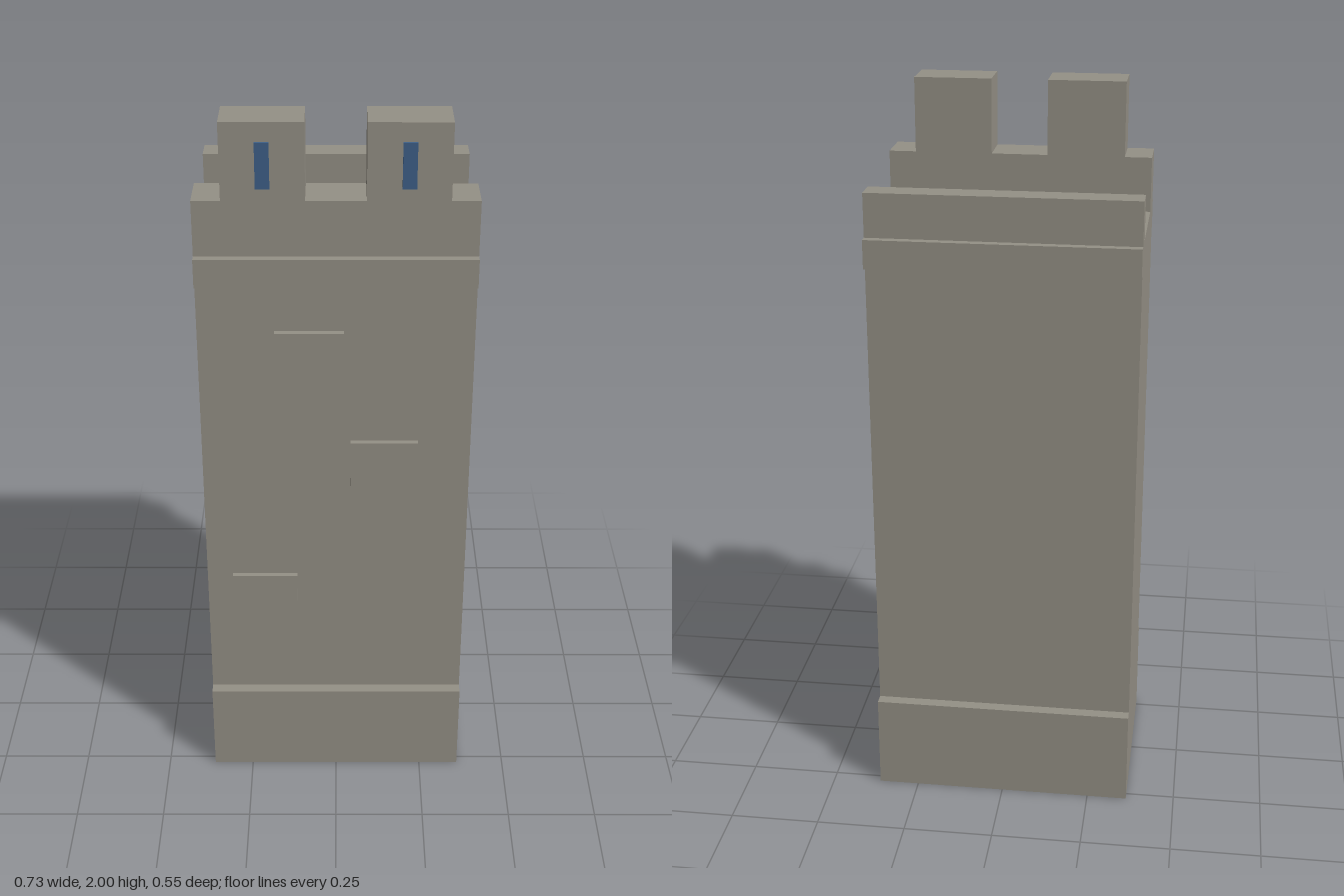
import * as THREE from 'three';

const WIDTH = 0.726;
const FRONT = 0.242; // front wall plane

export function createModel() {
  const stone = new THREE.MeshStandardMaterial({ color: 0x959186 });
  stone.name = 'stone';
  const slitBlue = new THREE.MeshStandardMaterial({ color: 0x3e6089 });
  slitBlue.name = 'slitBlue';

  const tower = new THREE.Group();
  tower.name = 'tower';

  // Box given by its limits on each axis
  const addBox = (name, material, [x0, x1], [y0, y1], [z0, z1]) => {
    const mesh = new THREE.Mesh(new THREE.BoxGeometry(x1 - x0, y1 - y0, z1 - z0), material);
    mesh.position.set((x0 + x1) / 2, (y0 + y1) / 2, (z0 + z1) / 2);
    mesh.name = name;
    tower.add(mesh);
  };

  // Plinth, shaft, cornices and both parapets: one side profile (z, y) swept across the width
  const profile = [
    [-0.275, 0], [0.275, 0], [0.275, 0.27], [FRONT, 0.27],
    [FRONT, 1.567], [0.265, 1.567], [0.265, 1.646], [FRONT, 1.646],
    [FRONT, 1.796], [0.122, 1.796], [0.122, 1.646],
    [-0.172, 1.646], [-0.172, 1.765], [-FRONT, 1.765],
    [-FRONT, 1.646], [-0.265, 1.646], [-0.265, 1.567], [-FRONT, 1.567],
    [-FRONT, 0.27], [-0.275, 0.27],
  ];
  const shape = new THREE.Shape(profile.map(([z, y]) => new THREE.Vector2(z, y)));
  const bodyGeometry = new THREE.ExtrudeGeometry(shape, { depth: WIDTH, bevelEnabled: false });
  bodyGeometry.translate(0, 0, -WIDTH / 2);
  bodyGeometry.rotateY(-Math.PI / 2);
  const body = new THREE.Mesh(bodyGeometry, stone);
  body.name = 'towerBody';
  tower.add(body);

  // Two merlons on the front parapet, each with an arrow slit
  for (const [side, s] of [['left', 1], ['right', -1]]) {
    const span = (a, b) => (s > 0 ? [a, b] : [-b, -a]);
    addBox(`${side}Merlon`, stone, span(0.077, 0.289), [1.796, 2], [0.122, FRONT]);
    addBox(`${side}ArrowSlit`, slitBlue, span(0.165, 0.201), [1.83, 1.95], [FRONT, FRONT + 0.009]);
  }

  // Raised stones on the front wall
  [[-0.07, 1.367], [0.13, 1.037], [-0.2, 0.603]].forEach(([x, y], i) => {
    addBox(`raisedStone${i + 1}`, stone, [x - 0.091, x + 0.091], [y - 0.068, y + 0.068], [FRONT, 0.258]);
  });

  return tower;
}
